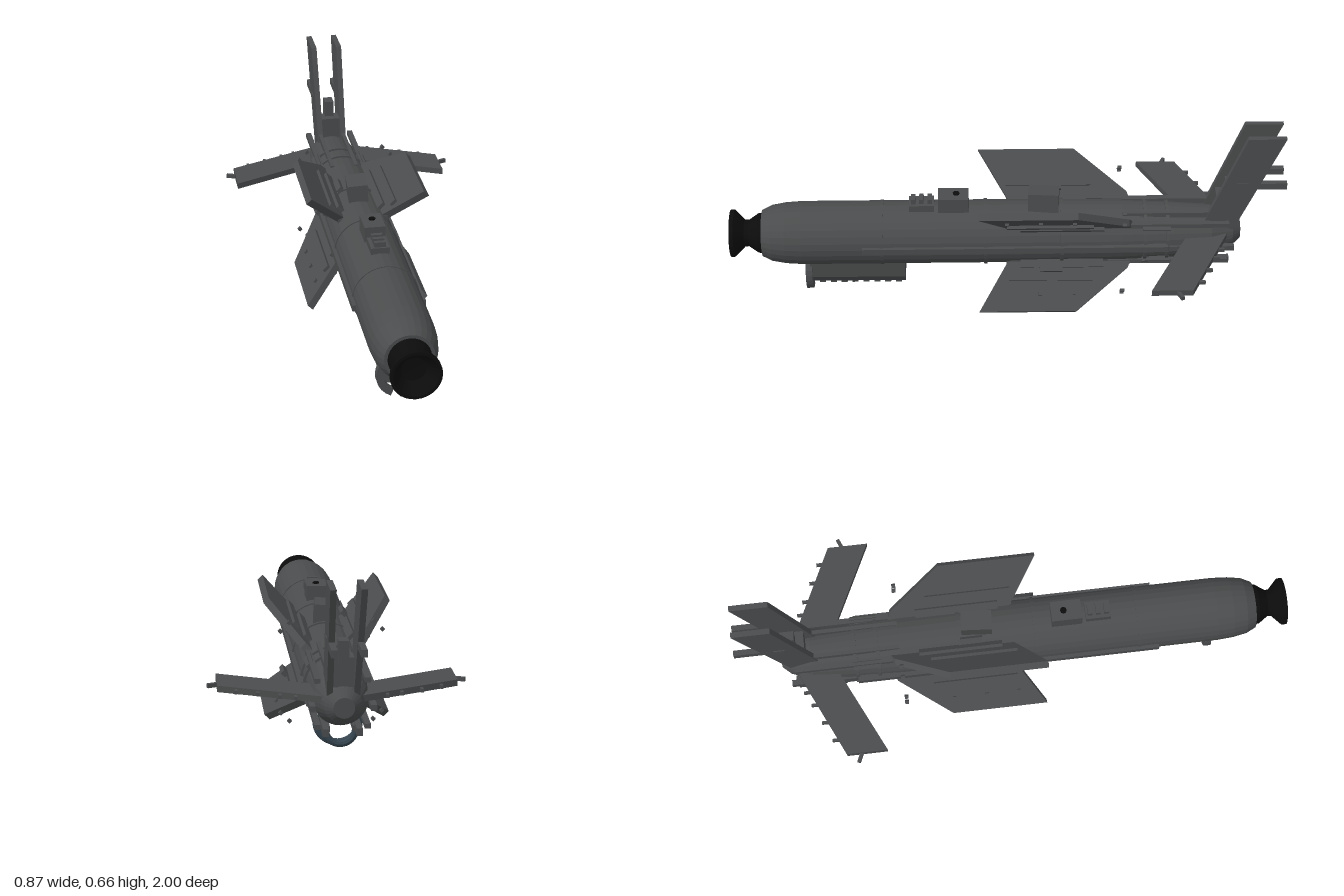
import * as THREE from 'three';

const AXIS_Y = 0.235;

export function createModel() {
  const model = new THREE.Group();
  const grey = new THREE.MeshStandardMaterial({ color: 0x4a4c4d, flatShading: true, side: THREE.DoubleSide });
  const black = new THREE.MeshStandardMaterial({ color: 0x0c0c0c, flatShading: true, side: THREE.DoubleSide });
  const blue = new THREE.MeshStandardMaterial({ color: 0x35444f, flatShading: true, side: THREE.DoubleSide });

  const add = (parent, name, geometry, material = grey) => {
    const mesh = new THREE.Mesh(geometry, material);
    mesh.name = name;
    parent.add(mesh);
    return mesh;
  };
  const group = (name, y = 0) => {
    const g = new THREE.Group();
    g.name = name;
    g.position.y = y;
    model.add(g);
    return g;
  };
  const box = (parent, name, w, h, d, x, y, z) => {
    const m = add(parent, name, new THREE.BoxGeometry(w, h, d));
    m.position.set(x, y, z);
    return m;
  };
  // Turned part along z from [radius, z] pairs
  const turned = (pts, sides = 28) =>
    new THREE.LatheGeometry(pts.map(p => new THREE.Vector2(...p)), sides).rotateX(Math.PI / 2);
  // Flat plate with an outline of [across, z] pairs
  const plate = (pts, t) =>
    new THREE.ExtrudeGeometry(new THREE.Shape(pts.map(p => new THREE.Vector2(...p))), { depth: t, bevelEnabled: false })
      .translate(0, 0, -t / 2).rotateX(Math.PI / 2);

  // Fuselage with rounded nose and tapered tail
  const body = group('fuselage', AXIS_Y);
  add(body, 'hull', turned([
    [0, -0.85], [0.035, -0.85], [0.062, -0.82], [0.092, -0.74], [0.103, -0.6], [0.112, -0.42],
    [0.115, 0], [0.115, 0.74], [0.111, 0.8], [0.102, 0.85], [0.085, 0.885], [0, 0.885]]));
  for (const [z, r] of [[0.45, 0.118], [0.075, 0.119], [-0.2, 0.119], [-0.5, 0.115], [-0.58, 0.112]])
    add(body, 'band', turned([[r - 0.012, z - 0.006], [r, z - 0.006], [r, z + 0.006], [r - 0.012, z + 0.006]]));

  // Black hourglass nose cup, open at the front
  add(body, 'noseCup', turned([
    [0, 0.88], [0.074, 0.88], [0.072, 0.9], [0.048, 0.935], [0.05, 0.95], [0.086, 0.985],
    [0.086, 1], [0.076, 1], [0.042, 0.955], [0, 0.95]]), black);

  // Lengthwise rails around the hull
  for (const s of [-1, 1]) {
    box(body, 'sideRail', 0.022, 0.022, 1.1, s * 0.116, 0, -0.03);
    box(body, 'tailSideRail', 0.02, 0.02, 0.24, s * 0.1, -0.01, -0.7);
    for (const v of [-1, 1]) {
      box(body, 'longRail', 0.02, 0.016, 0.8, s * 0.082, v * 0.078, -0.4);
      box(body, 'tailRail', 0.014, 0.02, 0.34, s * 0.045, v * 0.098, -0.59);
      const clamp = box(body, 'clamp', 0.03, 0.018, 0.1, s * 0.085, v * 0.072, -0.54);
      clamp.rotation.z = -s * v * Math.PI / 4;
    }
  }

  // Four diagonal main wings, each with a rail on both faces
  for (let i = 0; i < 4; i++) {
    const wing = group('mainWing', AXIS_Y);
    wing.rotation.z = Math.PI / 4 + i * Math.PI / 2;
    add(wing, 'wingPanel', plate([[0.09, -0.02], [0.299, 0.1], [0.299, -0.25], [0.14, -0.44], [0.09, -0.46]], 0.026));
    for (const s of [-1, 1]) {
      box(wing, 'wingRail', 0.026, 0.012, 0.31, 0.175, s * 0.018, -0.155);
      box(wing, 'rootBlock', 0.03, 0.014, 0.3, 0.125, s * 0.018, -0.2);
      box(wing, 'trailingPin', 0.012, 0.012, 0.014, 0.226, s * 0.021, -0.417);
    }
    for (const z of [0, -0.12, -0.24])
      box(wing, 'rivet', 0.012, 0.01, 0.014, 0.235, i % 2 ? 0.016 : -0.016, z);
  }

  // Small blocks mounted either side of one wing plane
  for (const [x, y] of [[-0.065, 0.145], [-0.145, 0.062], [0.145, -0.07], [0.065, -0.145]])
    box(body, 'sideBlock', 0.022, 0.016, 0.08, x, y, -0.16).rotation.z = Math.PI / 4;

  // Equipment on the back
  const top = group('topEquipment');
  box(top, 'rearBox', 0.072, 0.08, 0.11, 0, 0.37, -0.135).rotation.set(0, -0.08, 0.08);
  box(top, 'middleBox', 0.075, 0.06, 0.11, 0, 0.37, 0.19);
  add(top, 'cap', new THREE.CylinderGeometry(0.012, 0.012, 0.01, 8), black).position.set(0, 0.4, 0.18);
  box(top, 'frontBox', 0.065, 0.03, 0.09, 0, 0.355, 0.305);
  for (const z of [0.275, 0.305, 0.335])
    box(top, 'post', 0.04, 0.02, 0.016, 0, 0.378, z);

  // Forward-swept tailplanes with edge pins and tip knobs
  for (const s of [-1, 1]) {
    const tail = group('tailplane', 0.25);
    add(tail, 'tailplanePanel', plate([[0.06, -0.66], [0.4, -0.5], [0.4, -0.645], [0.06, -0.8]].map(([x, z]) => [s * x, z]), 0.022));
    const knob = box(tail, 'tipKnob', 0.035, 0.014, 0.012, s * 0.415, 0, -0.6);
    knob.rotation.y = s * 0.4;
    for (const x of [0.15, 0.2, 0.27, 0.34])
      box(tail, 'edgePin', 0.01, 0.012, 0.03, s * x, 0, -0.765 + (x - 0.15) * 0.456);
  }

  // Twin upright fins, swept back
  const fins = group('tailFins');
  for (const s of [-1, 1]) {
    const fin = add(fins, 'fin', plate([[0.27, -0.7], [0.66, -0.85], [0.66, -0.985], [0.27, -0.82]], 0.02).rotateZ(Math.PI / 2));
    fin.position.x = s * 0.041;
    fin.rotation.z = -s * 0.012;
    box(fins, 'finBar', 0.02, 0.025, 0.13, s * 0.047, 0.458, -0.935);
    box(fins, 'finBracket', 0.012, 0.03, 0.04, s * 0.054, 0.458, -0.84);
  }
  box(fins, 'finMount', 0.09, 0.1, 0.06, 0, 0.345, -0.785);
  box(fins, 'centrePlate', 0.034, 0.08, 0.05, 0, 0.415, -0.81);

  // Belly pod with ribbed underside
  const pod = group('bellyPod');
  const section = new THREE.Shape([[-0.07, 0.15], [-0.066, 0.08], [-0.048, 0.05], [0.048, 0.05], [0.066, 0.08], [0.07, 0.15]]
    .map(p => new THREE.Vector2(...p)));
  add(pod, 'podShell', new THREE.ExtrudeGeometry(section, { depth: 0.345, bevelEnabled: false })).position.z = 0.37;
  for (let i = 0; i < 8; i++)
    box(pod, 'podRib', 0.085, 0.012, 0.022, 0, 0.045, 0.395 + i * 0.04);

  // Open claw ring at the front of the pod
  const claw = new THREE.Shape();
  claw.absarc(0, 0.085, 0.083, -Math.PI / 2, Math.PI * 1.37, false);
  claw.absarc(0, 0.085, 0.058, Math.PI * 1.37, -Math.PI / 2, true);
  add(pod, 'claw', new THREE.ExtrudeGeometry(claw, { depth: 0.024, bevelEnabled: false, curveSegments: 12 })).position.z = 0.708;

  // Hanging loops under the tail
  const loops = group('tailLoops');
  for (const [r, z] of [[0.073, -0.635], [0.05, -0.725]]) {
    const loop = add(loops, 'loop', new THREE.TorusGeometry(r, 0.012, 8, 20, Math.PI * 1.2).rotateZ(Math.PI * 0.9), blue);
    loop.position.set(0, 0.125, z);
  }
  for (const s of [-1, 1])
    box(loops, 'loopMount', 0.02, 0.025, 0.16, s * 0.055, 0.14, -0.73);

  return model;
}
